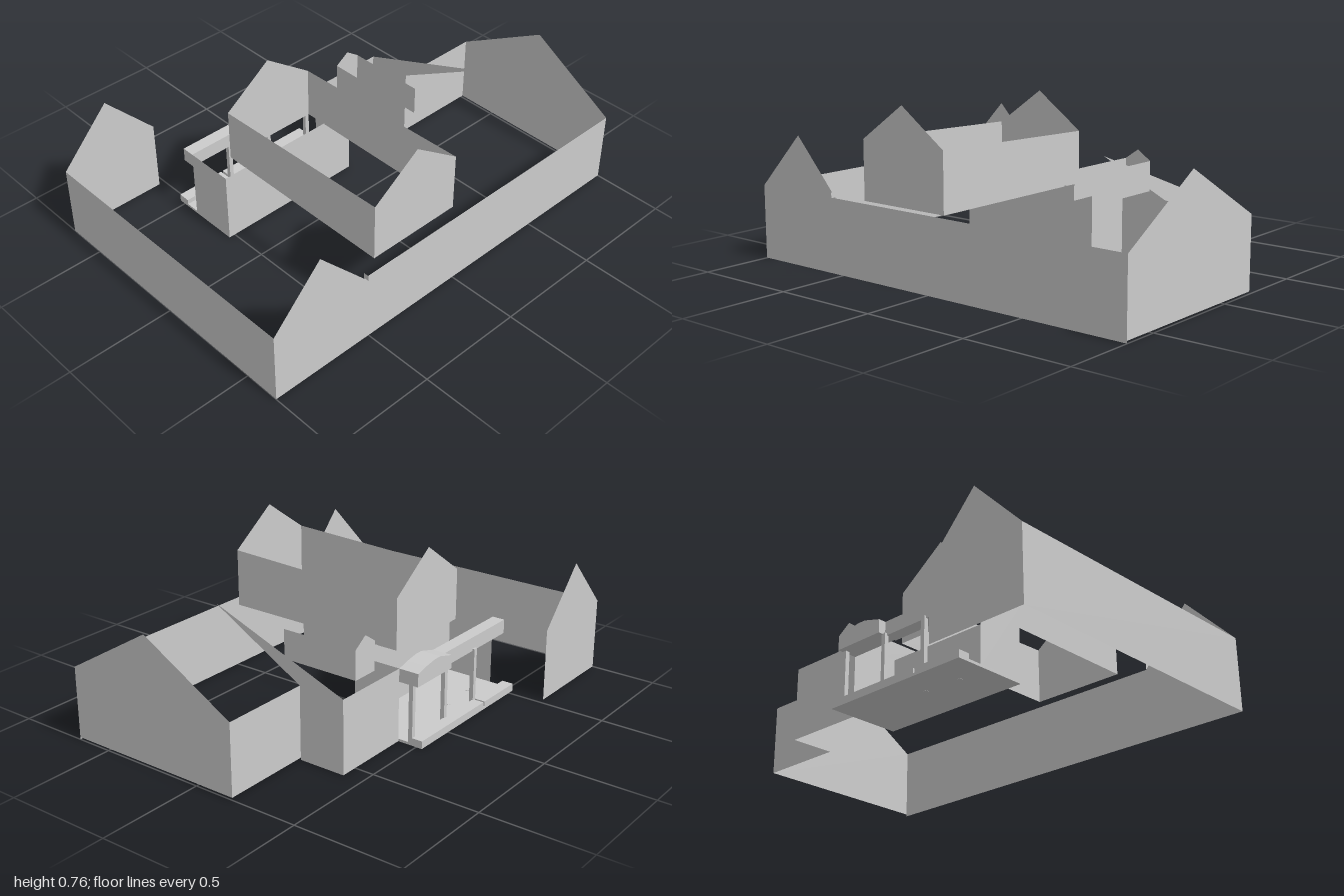
import * as THREE from 'three';

export function createModel() {
  const model = new THREE.Group();
  const mat = new THREE.MeshStandardMaterial({ color: 0xcccccc, side: THREE.DoubleSide, flatShading: true });
  const H = 0.335; // eaves height

  const add = (name, geo) => {
    const mesh = new THREE.Mesh(geo, mat);
    mesh.name = name;
    model.add(mesh);
    return mesh;
  };
  const shapeOf = pts => new THREE.Shape(pts.map(p => new THREE.Vector2(...p)));
  // thin wall facing z, outline in (x, y)
  const wallZ = (name, z, pts) => add(name, new THREE.ShapeGeometry(shapeOf(pts)).translate(0, 0, z));
  // thin wall facing x, outline in (z, y)
  const wallX = (name, x, pts) =>
    add(name, new THREE.ShapeGeometry(shapeOf(pts)).rotateY(-Math.PI / 2).translate(x, 0, 0));
  const rect = (a, b, y0 = 0, y1 = H) => [[a, y0], [b, y0], [b, y1], [a, y1]];
  const gable = (a, b, y0, eave, peak) => [[a, y0], [b, y0], [b, eave], [(a + b) / 2, peak], [a, eave]];
  const box = (name, x0, x1, y0, y1, z0, z1) =>
    add(name, new THREE.BoxGeometry(x1 - x0, y1 - y0, z1 - z0)
      .translate((x0 + x1) / 2, (y0 + y1) / 2, (z0 + z1) / 2));

  // outer walls
  wallZ('frontWall', 0.67, [[-1, 0], [1, 0], [1, H], [-0.53, H], [-0.76, 0.585], [-1, H]]);
  wallX('wingOuterWall', -1, rect(-0.69, 0.67));
  wallZ('wingBackGable', -0.69, gable(-1, -0.53, 0, H, 0.585));
  wallX('endGable', 1, [[-0.19, 0.01], [0.67, 0.01], [0.67, H], [0.25, 0.585], [-0.19, H]]);
  wallZ('endBackWall', -0.19, rect(0.58, 1, 0.01));
  wallX('stepWall', 0.58, rect(-0.41, -0.19));
  wallX('roofStepTriangle', 0.58, [[-0.41, H], [-0.19, H], [0.25, 0.585]]);
  wallZ('backWall', -0.41, rect(0.2, 0.58));

  // recess behind the porch
  wallX('recessSideWall', 0.2, rect(-0.41, -0.18));
  wallX('recessSideWall', -0.53, rect(-0.41, -0.18));
  wallZ('recessBackWall', -0.18, rect(-0.53, 0.2));

  // large central dormer
  wallZ('dormerFrontGable', 0.61, gable(-0.415, 0.045, 0.33, 0.597, 0.76));
  wallZ('dormerBackGable', -0.285, gable(-0.415, 0.045, 0.33, 0.57, 0.735));
  for (const x of [-0.415, 0.045])
    wallX('dormerSide', x, [[-0.285, 0.33], [0.61, 0.33], [0.61, 0.597], [-0.285, 0.57]]);

  // small rear dormer
  wallZ('smallDormerGable', -0.335, gable(0.27, 0.4, 0.33, 0.465, 0.51));
  for (const x of [0.27, 0.4]) wallX('smallDormerSide', x, rect(-0.335, 0.04, 0.33, 0.465));

  // porch floor, curbs and posts
  box('porchFloor', -0.53, 0.2, 0, 0.012, -0.53, -0.18);
  for (const [a, b] of [[-0.53, -0.29], [-0.28, -0.05], [-0.05, 0.2]])
    box('porchCurb', a, b, 0.012, 0.035, -0.53, -0.475);
  for (const x of [0.18, -0.06, -0.29]) box('porchPost', x, x + 0.02, 0.012, 0.28, -0.48, -0.46);
  for (const [x, z] of [[-0.39, -0.38], [-0.21, -0.39]])
    box('floorFitting', x - 0.008, x + 0.008, -0.001, 0.014, z - 0.008, z + 0.008);

  // porch beam and arched bay canopy
  box('porchBeam', -0.53, -0.05, 0.27, H, -0.47, -0.41);
  const arch = shapeOf([[-0.05, 0.275], [0.2, 0.275], [0.2, H], [0.14, 0.35], [0.08, 0.36], [0.04, 0.36], [-0.05, H]]);
  add('bayCanopy', new THREE.ExtrudeGeometry(arch, { depth: 0.095, bevelEnabled: false }).translate(0, 0, -0.505));

  // eaves end plate at the wing corner
  wallX('eavesPlate', -0.53, rect(0.67, 0.695, 0.34, 0.365));
  return model;
}
